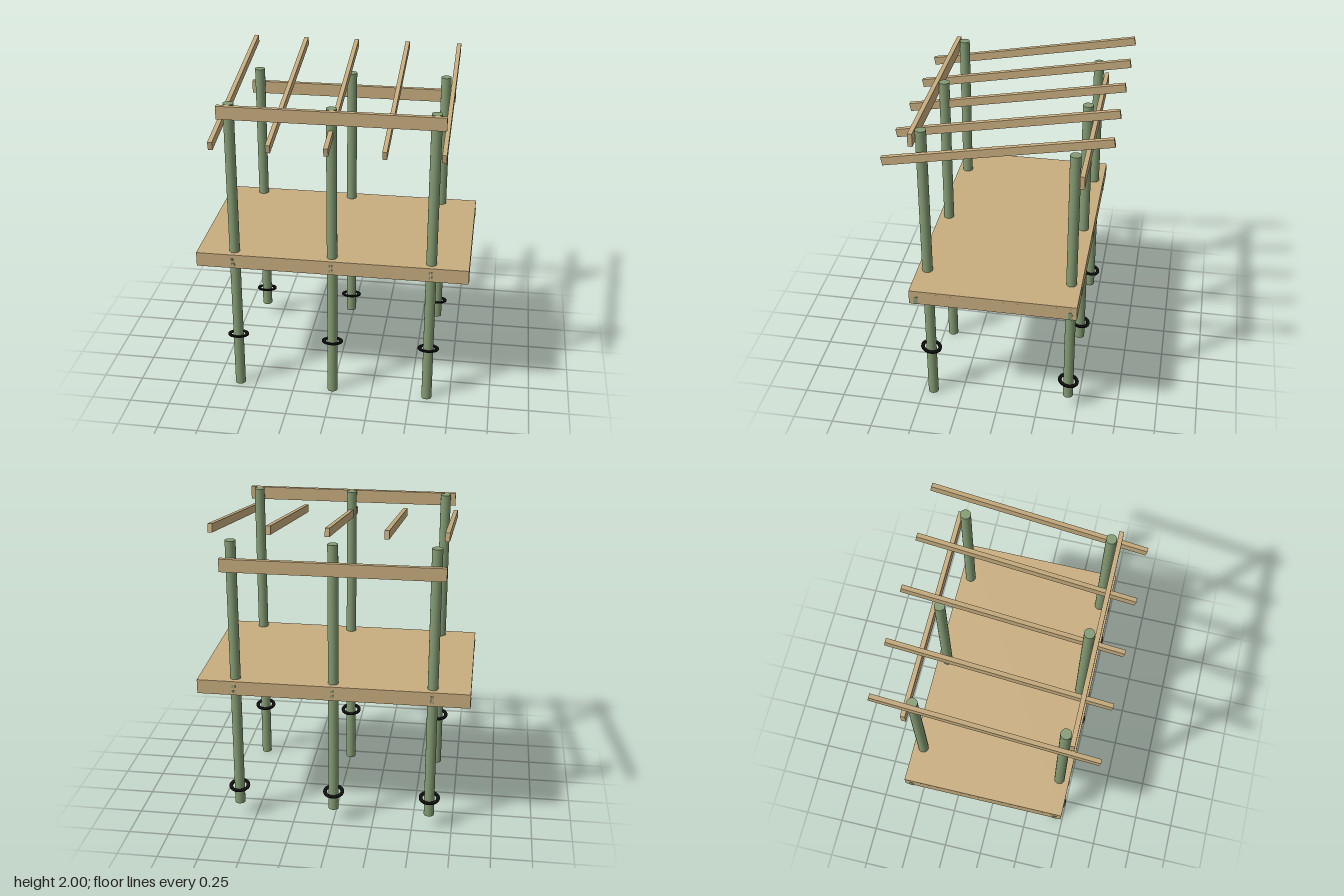
import * as THREE from 'three';

export function createModel() {
  const model = new THREE.Group();
  const wood = new THREE.MeshStandardMaterial({ color: 0xc8ad7f });
  wood.name = 'timber';
  const green = new THREE.MeshStandardMaterial({ color: 0x849b73 });
  green.name = 'treatedGreen';
  const black = new THREE.MeshStandardMaterial({ color: 0x0c0c0c });
  black.name = 'blackBand';

  const add = (name, geometry, material, x, y, z) => {
    const mesh = new THREE.Mesh(geometry, material);
    mesh.name = name;
    mesh.position.set(x, y, z);
    model.add(mesh);
    return mesh;
  };
  const box = (name, w, h, d, x, y, z, material = wood) =>
    add(name, new THREE.BoxGeometry(w, h, d), material, x, y, z);

  // Flat ring around a post
  const outline = new THREE.Shape().absarc(0, 0, 0.066, 0, Math.PI * 2, false);
  outline.holes.push(new THREE.Path().absarc(0, 0, 0.044, 0, Math.PI * 2, true));
  const ringGeometry = new THREE.ExtrudeGeometry(outline, { depth: 0.008, bevelEnabled: false, curveSegments: 16 });
  ringGeometry.translate(0, 0, -0.004);
  ringGeometry.rotateX(-Math.PI / 2 - 0.18);

  // Front and back rows: posts, ground rings, bolts, top beam and deck rim
  const rows = [
    { side: 'front', s: 1, bottom: 0, top: 1.92, ring: 0.362, beam: 1.88 },
    { side: 'back', s: -1, bottom: 0.09, top: 1.84, ring: 0.207, beam: 1.70 },
  ];
  for (const { side, s, bottom, top, ring, beam } of rows) {
    const z = s * 0.438;
    for (const x of [-0.605, 0, 0.605]) {
      add(side + 'Post', new THREE.CylinderGeometry(0.032, 0.032, top - bottom, 24), green, x, (top + bottom) / 2, z);
      const band = add(side + 'PostRing', ringGeometry, black, x, ring, z);
      // Lean the rings down toward the back
      band.rotation.x = 0;
      for (const dx of [-0.007, 0.007])
        for (const y of [0.897, 0.927])
          box(side + 'Bolt', 0.009, 0.016, 0.006, x + dx, y, s * 0.501, green);
    }
    box(side + 'Beam', 1.333, 0.08, 0.028, 0, beam, s * 0.486);
    box(side + 'DeckRim', 1.667, 0.075, 0.028, 0, 0.9075, s * 0.486);
    // Bracket plates on the deck ends
    for (const e of [-1, 1])
      box(side + 'EndPlate', 0.006, 0.05, 0.025, e * 0.833, 0.895, s * 0.46, green);
  }

  // Deck boards and the joists beneath
  box('deckBoards', 1.667, 0.015, 1, 0, 0.9525, 0);
  for (let i = -3; i <= 3; i++)
    box('joist', 0.028, 0.075, 0.944, i * 0.2732, 0.9075, 0);

  // Sloping rafters, rising to the back
  for (let i = -2; i <= 2; i++) {
    const rafter = box('rafter', 0.027, 0.05, 1.33, i / 3, 1.855, 0);
    rafter.rotation.x = 0.18;
  }
  return model;
}
